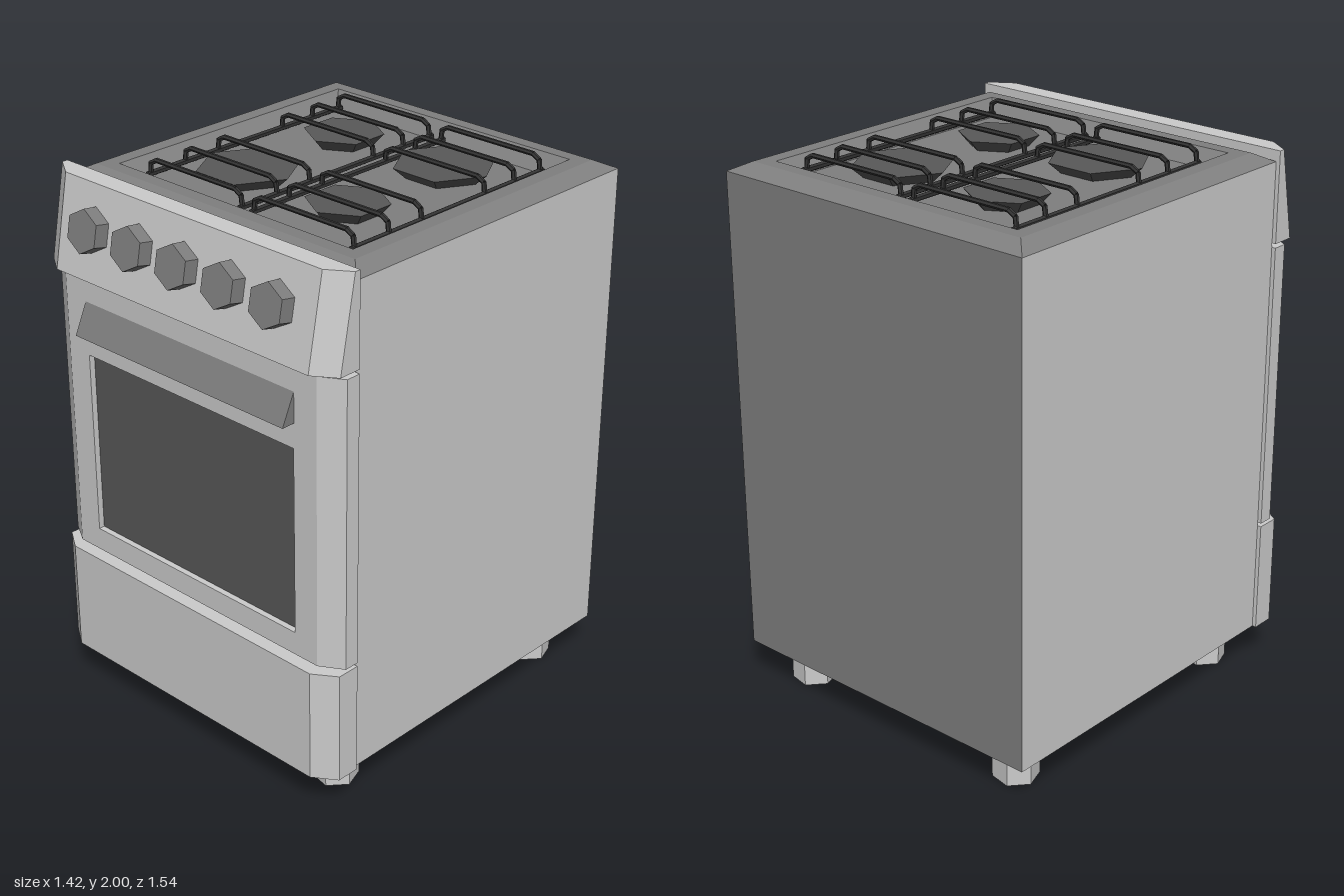
import * as THREE from 'three';

const mat = (name, color, extra = {}) =>
  Object.assign(new THREE.MeshStandardMaterial({ color, flatShading: true, ...extra }), { name });

export function createModel() {
  const enamel = mat('light enamel', 0xcccccc, { side: THREE.DoubleSide });
  const grey = mat('dark grey', 0x7f7f7f, { side: THREE.DoubleSide });
  const charcoal = mat('charcoal', 0x595959);
  const iron = mat('black iron', 0x333333);

  const stove = new THREE.Group();
  stove.name = 'stove';
  const add = (name, geometry, material, x = 0, y = 0, z = 0, parent = stove) => {
    const mesh = new THREE.Mesh(geometry, material);
    mesh.name = name;
    mesh.position.set(x, y, z);
    parent.add(mesh);
    return mesh;
  };

  const HALF = 0.655, BACK = -0.727, FRONT = 0.57;

  // Upright prism from a plan of [x, z] points
  const prism = (plan, y0, y1) => {
    const shape = new THREE.Shape(plan.map(([x, z]) => new THREE.Vector2(x, -z)));
    return new THREE.ExtrudeGeometry(shape, { depth: y1 - y0, bevelEnabled: false })
      .rotateX(-Math.PI / 2).translate(0, y0, 0);
  };
  // Front plate plan with chamfered corners
  const plate = (side, front) => [
    [-0.67, FRONT], [0.67, FRONT], [0.67, side], [0.587, front], [-0.587, front], [-0.67, side]];

  // Open-bottomed body shell
  const wallH = 1.94 - 0.15, wallY = 0.15 + wallH / 2, midZ = (BACK + FRONT) / 2;
  for (const s of [-1, 1]) {
    add('sideWall', new THREE.PlaneGeometry(FRONT - BACK, wallH).rotateY(s * Math.PI / 2),
      enamel, s * HALF, wallY, midZ);
  }
  add('frontWall', new THREE.PlaneGeometry(2 * HALF, wallH), enamel, 0, wallY, FRONT);
  add('backWall', new THREE.PlaneGeometry(2 * HALF, wallH).rotateY(Math.PI), grey, 0, wallY, BACK);

  // Cooktop: rectangles [half width, back, front, height] joined in turn, then the floor
  const rings = [
    [HALF, BACK, FRONT, 1.94], [0.592, -0.662, 0.51, 1.972],
    [0.535, -0.612, 0.458, 1.972], [0.48, -0.55, 0.4, 1.92]];
  const corners = rings.map(([w, b, f, y]) => [[-w, y, f], [w, y, f], [w, y, b], [-w, y, b]]);
  const pos = [];
  const quad = (a, b, c, d) => pos.push(...a, ...b, ...c, ...a, ...c, ...d);
  for (let r = 0; r < 3; r++) {
    for (let i = 0; i < 4; i++) {
      const j = (i + 1) % 4;
      quad(corners[r][i], corners[r][j], corners[r + 1][j], corners[r + 1][i]);
    }
  }
  quad(...corners[3]);
  const top = new THREE.BufferGeometry();
  top.setAttribute('position', new THREE.Float32BufferAttribute(pos, 3));
  top.computeVertexNormals();
  add('cooktop', top, grey);

  // Drawer
  add('drawer', prism(plate(0.655, 0.71), 0.15, 0.567), enamel);

  // Oven door built round the window opening
  const door = new THREE.Group();
  door.name = 'ovenDoor';
  stove.add(door);
  const W = 0.487, Y0 = 0.665, Y1 = 1.35;
  add('doorBottom', prism(plate(0.625, 0.674), 0.58, Y0), enamel, 0, 0, 0, door);
  add('doorTop', prism(plate(0.625, 0.674), Y1, 1.635), enamel, 0, 0, 0, door);
  for (const s of [-1, 1]) {
    const stile = [[W, FRONT], [0.67, FRONT], [0.67, 0.625], [0.587, 0.674], [W, 0.674]];
    add('doorStile', prism(stile.map(([x, z]) => [s * x, z]), Y0, Y1), enamel, 0, 0, 0, door);
  }
  add('window', new THREE.PlaneGeometry(2 * W, Y1 - Y0), charcoal, 0, (Y0 + Y1) / 2, 0.652, door);

  // Wedge handle
  const wedge = new THREE.Shape([[-0.674, 1.55], [-0.725, 1.44], [-0.674, 1.44]]
    .map(([x, y]) => new THREE.Vector2(x, y)));
  add('handle', new THREE.ExtrudeGeometry(wedge, { depth: 0.98, bevelEnabled: false })
    .rotateY(Math.PI / 2).translate(-0.49, 0, 0), grey, 0, 0, 0, door);

  // Control panel leaning back towards its top
  const panel = prism(plate(0.655, 0.71), 1.65, 1.98);
  const p = panel.attributes.position;
  for (let i = 0; i < p.count; i++) {
    if (p.getY(i) > 1.9 && p.getZ(i) > FRONT + 0.01) p.setZ(i, p.getZ(i) - 0.063);
  }
  panel.computeVertexNormals();
  add('controlPanel', panel, enamel);

  // Knobs
  for (let i = -2; i <= 2; i++) {
    const knob = add('knob', new THREE.CylinderGeometry(0.077, 0.08, 0.056, 6), grey,
      i * 0.212, 1.832, 0.7);
    knob.rotation.x = Math.PI / 2 - 0.19;
  }

  // Feet
  for (const x of [-0.495, 0.495]) {
    for (const z of [-0.575, 0.488]) {
      add('foot', new THREE.CylinderGeometry(0.082, 0.082, 0.15, 6, 1, false, 1.38), enamel, x, 0.075, z);
    }
  }

  // Burners: large and small on opposite corners
  for (const [x, z, r, turn] of [
    [-0.23, -0.317, 0.145, 0], [0.235, -0.317, 0.183, Math.PI / 6],
    [-0.225, 0.155, 0.183, Math.PI / 6], [0.23, 0.155, 0.145, 0]]) {
    add('burner', new THREE.CylinderGeometry(r, r * 0.75, 0.04, 6, 1, false, turn), charcoal, x, 1.941, z);
  }

  // Pan grates: two rails each, bridged by raised bars
  const rod = (name, a, b, r, parent) => {
    const from = new THREE.Vector3(...a), dir = new THREE.Vector3(...b).sub(from);
    const mesh = add(name, new THREE.CylinderGeometry(r, r, dir.length(), 6), iron, 0, 0, 0, parent);
    mesh.position.copy(from).addScaledVector(dir, 0.5);
    mesh.quaternion.setFromUnitVectors(new THREE.Vector3(0, 1, 0), dir.normalize());
  };
  for (const s of [-1, 1]) {
    const grate = new THREE.Group();
    grate.name = 'grate';
    grate.position.x = 0.008 + s * 0.247;
    stove.add(grate);
    for (const x of [-0.22, 0.22]) rod('rail', [x, 1.937, -0.545], [x, 1.937, 0.4], 0.011, grate);
    for (const z of [-0.53, -0.393, -0.24, 0.073, 0.228, 0.387]) {
      rod('bar', [-0.19, 1.991, z], [0.19, 1.991, z], 0.009, grate);
      for (const e of [-1, 1]) {
        rod('barEnd', [e * 0.22, 1.937, z], [e * 0.215, 1.978, z], 0.009, grate);
        rod('barBend', [e * 0.215, 1.976, z], [e * 0.188, 1.991, z], 0.009, grate);
      }
    }
  }

  // The whole stove stands slightly turned
  stove.rotation.y = -0.07;
  stove.position.x = 0.005;
  const model = new THREE.Group();
  model.name = 'cooker';
  model.add(stove);
  return model;
}
